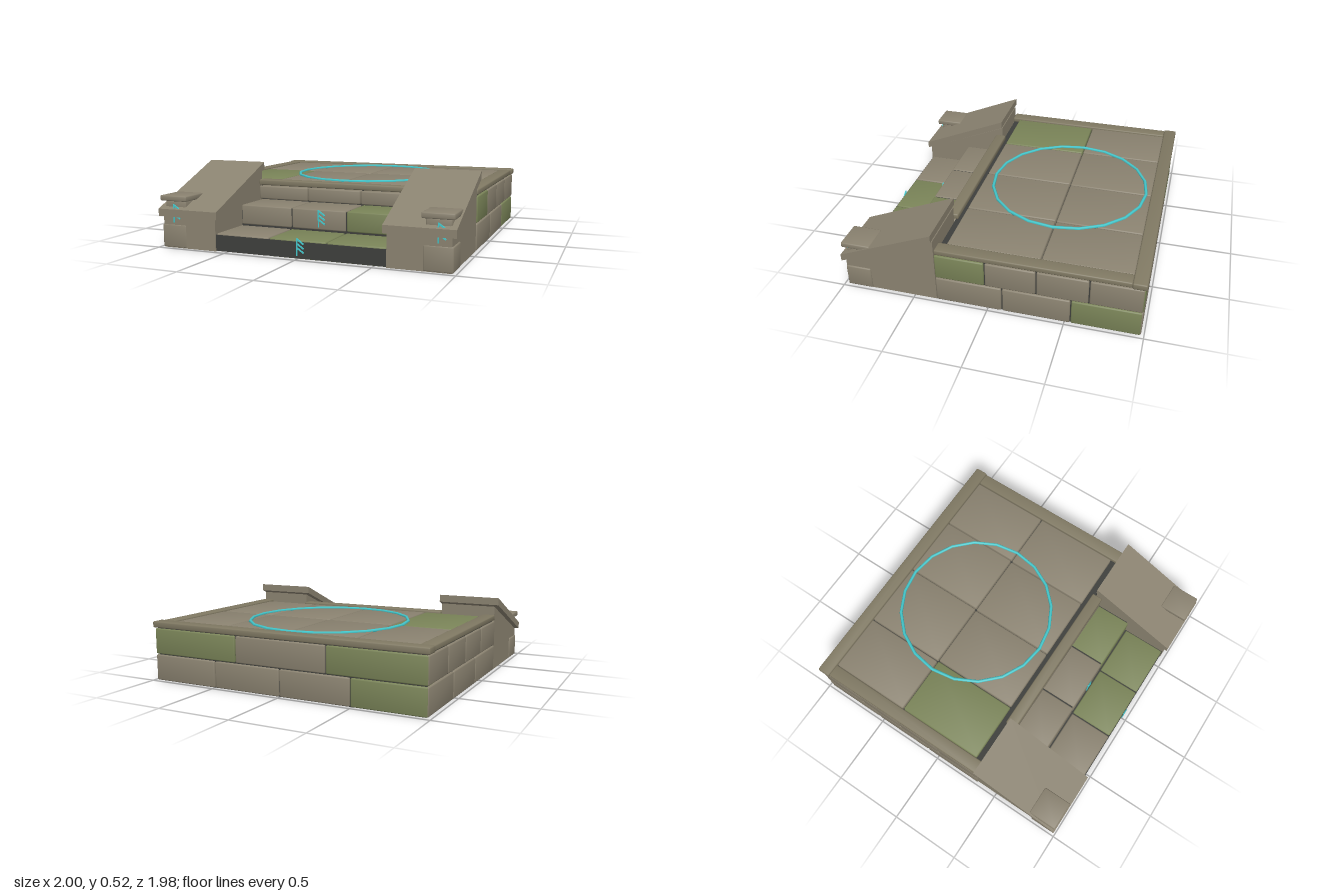
import * as THREE from 'three';
import { RoundedBoxGeometry } from 'three/addons/geometries/RoundedBoxGeometry.js';

const mat = (name, color) => {
  const m = new THREE.MeshStandardMaterial({ color });
  m.name = name;
  return m;
};

export function createModel() {
  const stone = mat('stone', 0x8a8270);
  const trim = mat('trim stone', 0x807963);
  const moss = mat('mossy stone', 0x7a8458);
  const dark = mat('dark core', 0x3e3f3c);
  const glow = mat('glowing inlay', 0x45c8cc);

  const model = new THREE.Group();
  model.name = 'stonePlatform';

  const add = (name, geometry, material, parent = model) => {
    const mesh = new THREE.Mesh(geometry, material);
    mesh.name = name;
    parent.add(mesh);
    return mesh;
  };

  // Worn block between two corners: bevelled edges and softly pillowed normals
  const block = (name, material, x0, x1, y0, y1, z0, z1, parent) => {
    const w = x1 - x0, h = y1 - y0, d = z1 - z0;
    const g = new RoundedBoxGeometry(w, h, d, 1, Math.min(0.008, Math.min(w, h, d) * 0.2));
    const p = g.attributes.position, n = g.attributes.normal, v = new THREE.Vector3();
    for (let i = 0; i < p.count; i++) {
      v.fromBufferAttribute(n, i);
      v.x += 0.2 * Math.sign(p.getX(i));
      v.y += 0.2 * Math.sign(p.getY(i));
      v.z += 0.2 * Math.sign(p.getZ(i));
      v.normalize();
      n.setXYZ(i, v.x, v.y, v.z);
    }
    g.translate((x0 + x1) / 2, (y0 + y1) / 2, (z0 + z1) / 2);
    return add(name, g, material, parent);
  };

  const plainBox = (name, material, x0, x1, y0, y1, z0, z1, parent) => {
    const g = new THREE.BoxGeometry(x1 - x0, y1 - y0, z1 - z0);
    g.translate((x0 + x1) / 2, (y0 + y1) / 2, (z0 + z1) / 2);
    return add(name, g, material, parent);
  };

  // Side profile of [z, y] points extruded from x0 to x1
  const prism = (name, material, points, x0, x1, parent) => {
    const shape = new THREE.Shape(points.map(([z, y]) => new THREE.Vector2(z, y)));
    const g = new THREE.ExtrudeGeometry(shape, { depth: x1 - x0, bevelEnabled: false });
    g.rotateY(-Math.PI / 2).translate(x1, 0, 0);
    return add(name, g, material, parent);
  };

  // Platform core
  plainBox('platformCore', dark, -0.965, 0.965, 0, 0.362, -0.965, 0.34);

  // Two courses of wall blocks; 'moss' lists the mossy block indices
  const gap = 0.004;
  const course = (count, a, b, mossy, place) => {
    const step = (b - a) / count;
    for (let i = 0; i < count; i++) {
      place(a + i * step + gap, a + (i + 1) * step - gap, mossy.includes(i) ? moss : stone);
    }
  };
  const low = [0.003, 0.178], high = [0.185, 0.358];
  for (const [y, count, mossy] of [[low, 3, [0]], [high, 4, [3]]]) {
    course(count, -0.98, 0.35, mossy, (a, b, m) => block('leftWallBlock', m, 0.82, 0.98, ...y, a, b));
    course(count, -0.98, 0.35, [], (a, b, m) => block('rightWallBlock', m, -0.98, -0.82, ...y, a, b));
  }
  for (const [y, count, mossy] of [[low, 4, [0]], [high, 3, [0, 2]]]) {
    course(count, -0.98, 0.98, mossy, (a, b, m) => block('backWallBlock', m, a, b, ...y, -0.981, -0.85));
  }

  // Floor slabs
  const floorRows = [
    { z: [-0.9, -0.328], x: [-0.89, -0.473, 0.005, 0.472, 0.89], mossy: -1 },
    { z: [-0.32, 0.29], x: [-0.89, -0.468, -0.003, 0.464, 0.89], mossy: 0 },
  ];
  for (const { z, x, mossy } of floorRows) {
    for (let i = 0; i < 4; i++) {
      block('floorSlab', i === mossy ? moss : stone, x[i] + gap, x[i + 1] - gap, 0.34, 0.394, ...z);
    }
  }

  // Coping around the platform
  block('backCoping', trim, -0.988, 0.988, 0.364, 0.406, -0.99, -0.9);
  block('leftCoping', trim, 0.89, 0.98, 0.366, 0.402, -0.9, 0.343);
  block('rightCoping', trim, -0.98, -0.89, 0.366, 0.402, -0.9, 0.343);
  block('frontCoping', trim, -0.575, 0.575, 0.364, 0.402, 0.322, 0.4);

  // Inlaid ring
  const ring = new THREE.TorusGeometry(0.545, 0.011, 6, 20);
  ring.rotateX(Math.PI / 2).translate(0, 0.397, -0.32);
  add('floorRing', ring, glow);

  // Steps
  plainBox('lowerStepCore', dark, -0.58, 0.58, 0.004, 0.108, 0.34, 0.964);
  plainBox('upperStepCore', dark, -0.58, 0.58, 0.1, 0.25, 0.34, 0.635);
  const stepRows = [
    { y: [0, 0.118], z: [0.652, 0.96], mossy: [1, 2] },
    { y: [0.124, 0.257], z: [0.35, 0.645], mossy: [2] },
    { y: [0.265, 0.356], z: [0.33, 0.395], mossy: [] },
  ];
  const stepX = [-0.58, -0.197, 0.194, 0.58];
  for (const { y, z, mossy } of stepRows) {
    for (let i = 0; i < 3; i++) {
      block('stepBlock', mossy.includes(i) ? moss : stone, stepX[i] + gap, stepX[i + 1] - gap, ...y, ...z);
    }
  }

  // Glyph: thin stem with slanted strokes
  const glyph = (name, x, y, z, height) => {
    const group = new THREE.Group();
    group.name = name;
    group.position.set(x, y, z);
    add('glyphStem', new THREE.BoxGeometry(0.007, height, 0.008).translate(0, height / 2, 0), glow, group);
    for (const t of [0.92, 0.66, 0.42]) {
      const stroke = add('glyphStroke', new THREE.BoxGeometry(0.052, 0.009, 0.008), glow, group);
      stroke.position.set(0.024, height * t - 0.012, 0);
      stroke.rotation.z = -0.6;
    }
    model.add(group);
  };
  glyph('lowerStepGlyph', 0, 0.02, 0.966, 0.11);
  glyph('upperStepGlyph', 0, 0.14, 0.648, 0.115);

  // Sloped cheek walls beside the steps
  for (const side of [1, -1]) {
    const group = new THREE.Group();
    group.name = side > 0 ? 'leftCheekWall' : 'rightCheekWall';
    model.add(group);
    const span = (a, b) => (side > 0 ? [a, b] : [-b, -a]);
    prism('cheekWedge', stone, [[0.35, 0], [0.97, 0], [0.97, 0.208], [0.35, 0.46]], ...span(0.58, 0.972), group);
    prism('cheekCap', stone, [[0.35, 0.472], [0.988, 0.208], [0.988, 0.257], [0.35, 0.523]], ...span(0.56, 1), group);
    block('cornerBlock', stone, ...span(0.8, 0.981), 0.002, 0.155, 0.8, 0.973, group);
    block('lampFoot', stone, ...span(0.81, 0.965), 0.24, 0.311, 0.815, 0.955, group);
    block('lampPad', stone, ...span(0.79, 0.988), 0.31, 0.346, 0.782, 0.982, group);
    glyph('cheekGlyph', side * 0.89, 0.17, 0.972, 0.12);
  }

  return model;
}
